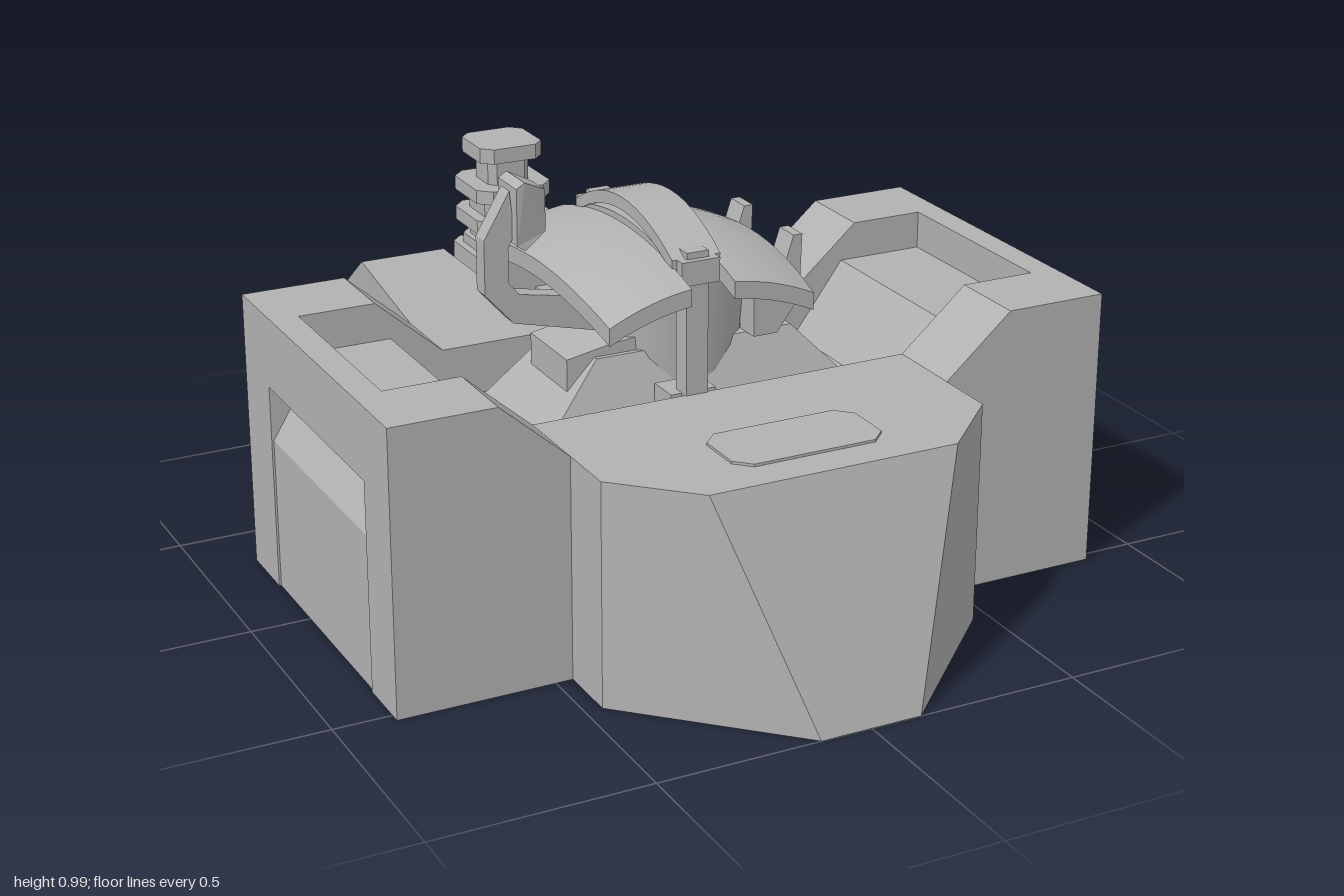
import * as THREE from 'three';

export function createModel() {
  const model = new THREE.Group();
  const grey = new THREE.MeshStandardMaterial({ color: 0xb2b2b2 });
  grey.name = 'plainGrey';

  const add = (name, geo) => {
    const mesh = new THREE.Mesh(geo, grey);
    mesh.name = name;
    model.add(mesh);
    return mesh;
  };
  const toShape = pts => new THREE.Shape(pts.map(p => new THREE.Vector2(p[0], p[1])));
  const mirror = (pts, s) => pts.map(([a, b]) => [s * a, b]);
  // Apply a rule to every vertex
  const reshape = (geo, rule) => {
    const p = geo.attributes.position, v = new THREE.Vector3();
    for (let i = 0; i < p.count; i++) {
      v.fromBufferAttribute(p, i);
      rule(v);
      p.setXYZ(i, v.x, v.y, v.z);
    }
    geo.computeVertexNormals();
    return geo;
  };
  // Plan outline (x, z) raised from y0 to y1
  const plan = (pts, y0, y1, holes = []) => {
    const shape = toShape(pts.map(([x, z]) => [x, -z]));
    holes.forEach(h => shape.holes.push(new THREE.Path(h.map(([x, z]) => new THREE.Vector2(x, -z)))));
    const g = new THREE.ExtrudeGeometry(shape, { depth: y1 - y0, bevelEnabled: false });
    return g.rotateX(-Math.PI / 2).translate(0, y0, 0);
  };
  // Front outline (x, y) running from z0 to z1
  const section = (pts, z0, z1) =>
    new THREE.ExtrudeGeometry(toShape(pts), { depth: z1 - z0, bevelEnabled: false }).translate(0, 0, z0);
  const box = (x0, x1, y0, y1, z0, z1) =>
    new THREE.BoxGeometry(x1 - x0, y1 - y0, z1 - z0).translate((x0 + x1) / 2, (y0 + y1) / 2, (z0 + z1) / 2);
  const cutSquare = (cx, cz, hx, hz, c) => [
    [cx - hx + c, cz - hz], [cx + hx - c, cz - hz], [cx + hx, cz - hz + c], [cx + hx, cz + hz - c],
    [cx + hx - c, cz + hz], [cx - hx + c, cz + hz], [cx - hx, cz + hz - c], [cx - hx, cz - hz + c]];

  // Hull: rear deck, lowered cross channel and pointed front
  const deck = 0.52, channel = 0.4;
  add('rearDeck', plan([[-0.453, -0.41], [0.453, -0.41], [0.46, -0.345], [0.46, -0.155],
    [-0.46, -0.155], [-0.46, -0.345]], 0, deck));
  add('channelFloor', box(-0.46, 0.46, 0, channel, -0.155, 0.335));
  add('nose', reshape(plan([[-0.46, 0.335], [0.46, 0.335], [0.46, 0.67], [0.12, 1], [-0.12, 1], [-0.46, 0.67]], 0, deck), v => {
    if (v.y > 0.1 && v.z > 0.9) { v.z = 0.83; v.x = Math.sign(v.x) * 0.295; }
  }));
  add('noseHatch', plan(cutSquare(0, 0.655, 0.18, 0.09, 0.035), deck, deck + 0.006));

  // Rear prongs with sloped tips, and side pods
  for (const s of [1, -1]) {
    add('prong', plan(mirror([[0.185, -0.8], [0.404, -0.8], [0.453, -0.41], [0.185, -0.41]], s), 0, deck));
    add('prongTip', reshape(plan(mirror([[0.185, -1], [0.38, -1], [0.404, -0.8], [0.185, -0.8]], s), 0, deck), v => {
      if (v.y > 0.1 && v.z < -0.9) v.y = 0.39;
    }));

    // Pod outline, with optional side window and top recess
    const podOutline = (win, recess) => mirror([
      [0.46, 0],
      ...(win ? [[0.86, 0], [0.86, 0.36], [0.78, 0.49], [0.865, 0.49]] : [[0.865, 0]]),
      [0.865, 0.66],
      ...(recess ? [[0.8, 0.66], [0.8, 0.57], [0.585, 0.57], [0.46, channel]] : [[0.62, 0.66], [0.46, deck]]),
    ], s);
    [[-0.345, -0.19, false, false], [-0.19, -0.155, true, false], [-0.155, 0.335, true, true],
      [0.335, 0.385, true, false], [0.385, 0.525, false, false]].forEach(([z0, z1, w, r]) =>
      add('sidePod', section(podOutline(w, r), z0, z1)));
  }

  // Rear column with a hollow foot and stacked collars
  const cz = -0.85;
  const hole = cutSquare(0, cz, 0.055, 0.055, 0.015);
  add('columnFoot', plan(cutSquare(0, cz, 0.105, 0.105, 0.03), 0.05, 0.12, [hole]));
  add('columnBody', plan(cutSquare(0, cz, 0.105, 0.105, 0.03), 0.12, 0.49));
  [[0.085, 0.49, 0.515], [0.07, 0.515, 0.55], [0.1, 0.55, 0.585], [0.07, 0.585, 0.63],
    [0.1, 0.63, 0.665], [0.055, 0.665, 0.73], [0.083, 0.73, 0.768]].forEach(([r, y0, y1]) =>
    add('columnCollar', plan(cutSquare(0, cz, r, r, r * 0.32), y0, y1)));

  // Linkage between hull and column
  add('linkMount', box(-0.07, 0.07, 0.14, 0.34, -0.47, -0.41));
  const link = section([[0.44, 0.2], [0.53, 0.2], [0.6, 0.26], [0.72, 0.26], [0.72, 0.35], [0.53, 0.35], [0.44, 0.29]], -0.04, 0.04);
  add('linkArm', link.rotateY(Math.PI / 2));
  for (const s of [1, -1]) add('linkFork', box(s > 0 ? 0.04 : -0.085, s > 0 ? 0.085 : -0.04, 0.2, 0.4, -0.75, -0.63));
  add('linkPin', box(-0.085, 0.085, 0.22, 0.38, -0.665, -0.63));

  // Turret base: tapered mound and drum
  const mz = 0.09;
  add('turretMound', reshape(box(-0.42, 0.42, channel, 0.585, -0.09, 0.27), v => {
    if (v.y > 0.5) { v.x *= 0.58; v.z = mz + (v.z - mz) * 0.62; }
  }));
  add('turretShoulder', section([[-0.31, 0.46], [0.0, 0.46], [0.0, 0.63], [-0.2, 0.61], [-0.31, 0.59]], 0.0, 0.19));
  const drum = new THREE.CylinderGeometry(0.185, 0.165, 0.28, 20);
  add('turretDrum', drum.scale(1, 1, 0.85).translate(-0.015, 0.6, mz));

  // Curved roof plates on either side of a raised centre band
  const tx = -0.065;
  const roof = (x0, x1, halfZ, top, thick, dropX, dropZ) => {
    const g = new THREE.BoxGeometry(x1 - x0, thick, halfZ * 2, 8, 1, 14);
    g.translate((x0 + x1) / 2, top - thick / 2, mz);
    return reshape(g, v => {
      const u = (v.x - tx) / 0.26, w = (v.z - mz) / 0.32;
      v.y -= dropX * u * u + dropZ * w * w;
      v.x -= (v.x - tx) * 0.05 * w * w;
    });
  };
  add('roofPlate', roof(-0.325, -0.12, 0.32, 0.848, 0.04, 0.06, 0.05));
  add('roofPlate', roof(-0.01, 0.195, 0.32, 0.848, 0.04, 0.06, 0.05));
  add('roofBand', roof(-0.125, -0.005, 0.24, 0.908, 0.03, 0, 0.13));
  add('roofCore', roof(-0.12, -0.01, 0.2, 0.86, 0.05, 0, 0.07));

  // Front and rear struts carrying the band
  for (const s of [1, -1]) {
    const z = d => mz + s * d;
    const slab = (name, x0, x1, y0, y1, d0, d1) =>
      add(name, box(x0, x1, y0, y1, Math.min(z(d0), z(d1)), Math.max(z(d0), z(d1))));
    slab('roofStrut', -0.093, -0.04, 0.45, 0.85, 0.2, 0.25);
    slab('strutClamp', -0.112, -0.02, 0.78, 0.835, 0.15, 0.265);
    slab('strutFoot', -0.12, -0.01, 0.42, 0.52, 0.15, 0.23);
    // Bracket arm on the left side of the turret
    const z0 = z(0.115) - 0.032;
    add('bracketArm', section([[0.13, 0.585], [0.19, 0.585], [0.245, 0.66], [0.25, 0.81], [0.228, 0.81],
      [0.205, 0.74], [0.17, 0.71], [0.13, 0.71]], z0, z0 + 0.064));
  }
  add('bracketBar', new THREE.CylinderGeometry(0.025, 0.025, 0.2, 10).rotateX(Math.PI / 2).translate(0.21, 0.71, mz));

  // Bent side arm with a faceted head
  add('sideArm', section([[-0.16, 0.61], [-0.2, 0.615], [-0.4, 0.665], [-0.467, 0.74], [-0.467, 0.865], [-0.405, 0.97],
    [-0.395, 0.87], [-0.41, 0.84], [-0.41, 0.76], [-0.385, 0.73], [-0.2, 0.695], [-0.16, 0.69]], mz - 0.022, mz + 0.022));
  add('sideArmHead', reshape(section([[-0.4, 0.85], [-0.38, 0.838], [-0.325, 0.87], [-0.325, 0.965], [-0.38, 0.992], [-0.4, 0.98]],
    mz - 0.048, mz + 0.048), v => {
    if (v.x > -0.35) v.z = mz + (v.z - mz) * 0.65;
  }));

  return model;
}
